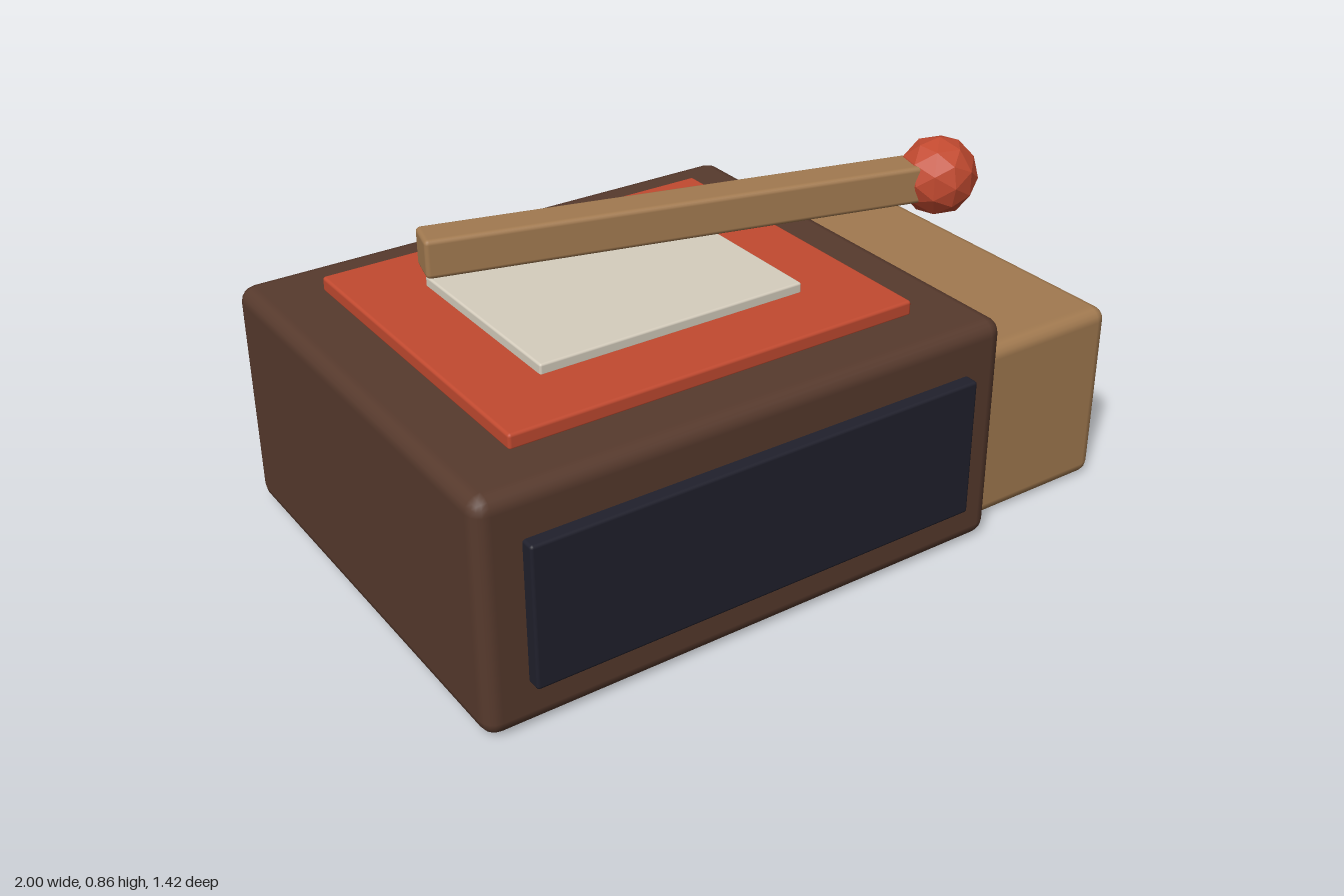
import * as THREE from 'three';
import { RoundedBoxGeometry } from 'three/addons/geometries/RoundedBoxGeometry.js';

const material = (name, color) => {
  const m = new THREE.MeshStandardMaterial({ color });
  m.name = name;
  return m;
};

export function createModel() {
  const brown = material('dark brown card', 0x573a2d);
  const tan = material('light wood', 0xa27a50);
  const red = material('red', 0xc24a30);
  const cream = material('cream paper', 0xd6cebe);
  const charcoal = material('striking charcoal', 0x20202c);

  const model = new THREE.Group();
  model.name = 'matchbox';

  // Softened box, placed by its extents: [min, max] on each axis
  const block = (parent, name, mat, [x0, x1], [y0, y1], [z0, z1], radius) => {
    const mesh = new THREE.Mesh(new RoundedBoxGeometry(x1 - x0, y1 - y0, z1 - z0, 2, radius), mat);
    mesh.position.set((x0 + x1) / 2, (y0 + y1) / 2, (z0 + z1) / 2);
    mesh.name = name;
    parent.add(mesh);
    return mesh;
  };

  // Box, turned slightly on the ground
  const box = new THREE.Group();
  box.name = 'box';
  box.position.set(-0.21, 0, -0.012);
  box.rotation.y = 0.14;
  model.add(box);

  block(box, 'sleeve', brown, [-0.718, 0.718], [0.003, 0.61], [-0.608, 0.608], 0.04);
  block(box, 'drawer', tan, [-0.05, 1.148], [0, 0.49], [-0.545, 0.545], 0.035);
  block(box, 'strikingStrip', charcoal, [-0.61, 0.61], [0.122, 0.49], [0.44, 0.643], 0.008);
  block(box, 'label', red, [-0.55, 0.55], [0.605, 0.645], [-0.46, 0.46], 0.008);
  block(box, 'labelPanel', cream, [-0.363, 0.363], [0.64, 0.67], [-0.273, 0.273], 0.006);

  // Match lying across the top
  const match = new THREE.Group();
  match.name = 'match';
  match.position.set(0.728, 0.755, -0.038);
  match.rotation.y = -0.107;
  model.add(match);

  block(match, 'matchStick', tan, [-1.365, 0], [-0.051, 0.05], [-0.05, 0.05], 0.012);

  // Faceted match head
  const headMaterial = red.clone();
  headMaterial.flatShading = true;
  const head = new THREE.Mesh(new THREE.IcosahedronGeometry(0.105, 1), headMaterial);
  head.name = 'matchHead';
  match.add(head);

  return model;
}
